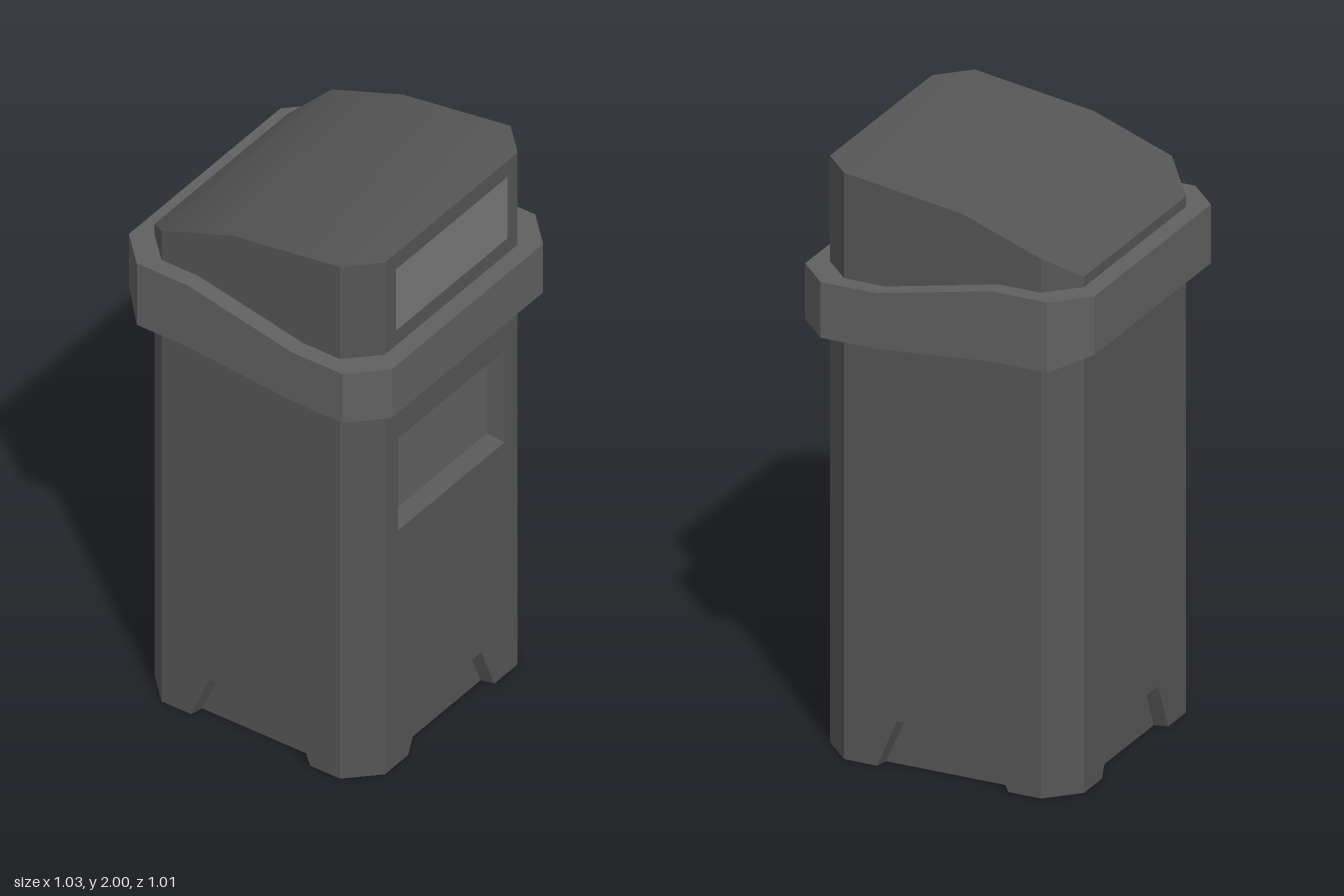
import * as THREE from 'three';
import { mergeGeometries, toCreasedNormals } from 'three/addons/utils/BufferGeometryUtils.js';

const W = 0.355, D = 0.345;          // half widths of the flat faces
const X = 0.455, Z = 0.445;          // half extents of the body
const DEPTH = 0.045;                 // depth of all recesses
const ROOF = [[Z, 2], [D, 2], [-0.07, 1.94], [-D, 1.84], [-Z, 1.76]];

// Height at z along a profile ordered from front to back
function heightAt(profile, z) {
  for (let i = 1; i < profile.length; i++) {
    const [z0, y0] = profile[i - 1], [z1, y1] = profile[i];
    if (z >= z1) return y0 + (y1 - y0) * Math.max(0, (z0 - z) / (z0 - z1));
  }
  return profile[profile.length - 1][1];
}

// Quads between two rows of points
function strip(a, b, closed = false) {
  const pos = [];
  for (let i = 0; i < a.length - (closed ? 0 : 1); i++) {
    const j = (i + 1) % a.length;
    pos.push(...a[i], ...a[j], ...b[j], ...a[i], ...b[j], ...b[i]);
  }
  const g = new THREE.BufferGeometry();
  g.setAttribute('position', new THREE.Float32BufferAttribute(pos, 3));
  return g;
}

// Flat polygon facing +z, with optional holes
function flat(points, z = 0, holes = []) {
  const vec = (list) => list.map(([x, y]) => new THREE.Vector2(x, y));
  const shape = new THREE.Shape(vec(points));
  shape.holes = holes.map((h) => new THREE.Path(vec(h)));
  const g = new THREE.ShapeGeometry(shape).toNonIndexed();
  g.deleteAttribute('uv');
  g.deleteAttribute('normal');
  return g.translate(0, 0, z);
}

function addMesh(group, name, parts, color) {
  const geometry = toCreasedNormals(mergeGeometries(parts), 0.6);
  const mesh = new THREE.Mesh(geometry, new THREE.MeshStandardMaterial({ color }));
  mesh.name = name;
  group.add(mesh);
}

const rect = (w, y0, y1) => [[-w, y0], [w, y0], [w, y1], [-w, y1]];
const at = (list, z) => list.map(([x, y]) => [x, y, z]);

// Chamfered rectangle from front left, with extra points where the sides bend
function outline(x, z, w, d, bends = []) {
  const right = [d, ...bends, -d].map((v) => [x, v]);
  const left = right.map(([a, b]) => [-a, b]).reverse();
  return [[-w, z], [w, z], ...right, [w, -z], [-w, -z], ...left];
}

export function createModel() {
  const group = new THREE.Group();
  const body = [], base = [];

  const notch = [[-0.23, 0], [0.23, 0], [0.16, 0.165], [-0.16, 0.165]];
  const notchIn = [[-0.22, 0], [0.22, 0], [0.152, 0.157], [-0.152, 0.157]];
  const hatch = rect(0.285, 0.91, 1.27);
  const hatchIn = rect(0.253, 0.945, 1.24);

  // Four walls, each with a foot notch; the side walls follow the roof line
  for (let k = 0; k < 4; k++) {
    const side = k % 2 === 1;
    const w = side ? D : W, dist = side ? X : Z, angle = k * Math.PI / 2;
    const turn = k === 1 ? -1 : 1;
    let top = [[w, k === 0 ? 2 : 1.76], [-w, k === 0 ? 2 : 1.76]];
    if (side) top = ROOF.slice(1, 4).map(([z, y]) => [turn * z, y]).sort((p, q) => q[0] - p[0]);
    const wall = [[-w, 0], notch[0], notch[3], notch[2], notch[1], [w, 0], ...top];
    const order = [1, 2, 3, 0];
    const parts = [
      flat(wall, dist, k === 0 ? [hatch] : []),
      flat(notchIn, dist - DEPTH),
      strip(at(order.map((i) => notch[i]), dist), at(order.map((i) => notchIn[i]), dist - DEPTH)),
    ];
    if (k === 0) parts.push(strip(at(hatch, dist), at(hatchIn, dist - DEPTH), true));
    body.push(...parts.map((g) => g.rotateY(angle)));

    const c = Math.cos(angle), s = Math.sin(angle);
    const local = [[-w, dist], [-0.23, dist], [-0.22, dist - DEPTH],
      [0.22, dist - DEPTH], [0.23, dist], [w, dist]];
    base.push(...local.map(([u, v]) => [u * c + v * s, v * c - u * s]));
  }
  body.push(flat(base).rotateX(Math.PI / 2));

  // Chamfered corners
  const ring = outline(X, Z, W, D);
  for (let i = 1; i < 8; i += 2) {
    const pair = [ring[i], ring[(i + 1) % 8]];
    body.push(strip(pair.map(([x, z]) => [x, 0, z]),
      pair.map(([x, z]) => [x, heightAt(ROOF, z), z])));
  }

  // Sloping roof
  const rows = ROOF.map(([z, y], i) => {
    const w = i === 0 || i === 4 ? W : X;
    return [[-w, y, z], [w, y, z]];
  });
  for (let i = 0; i < 4; i++) body.push(strip(rows[i], rows[i + 1]));
  addMesh(group, 'body', body, 0x555555);

  // Collar that steps up towards the back
  const low = [[0.51, 1.45], [0.2, 1.45], [-0.2, 1.485], [-0.397, 1.485], [-0.507, 1.525]];
  const high = [[0.51, 1.64], [0.2, 1.64], [-0.2, 1.725], [-0.507, 1.725]];
  const outer = outline(0.515, 0.507, 0.405, 0.397, [0.2, -0.2]);
  const inner = outline(X, Z, W, D, [0.2, -0.2]);
  const lift = (pts, profile) => pts.map(([x, z]) => [x, heightAt(profile, z), z]);
  addMesh(group, 'collar', [
    strip(lift(outer, low), lift(outer, high), true),
    strip(lift(outer, high), lift(inner, high), true),
    strip(lift(inner, low), lift(outer, low), true),
  ], 0x606060);

  // Floor of the front recess and the pale panel above the collar
  addMesh(group, 'recessPlate', [flat(hatchIn, Z - DEPTH)], 0x606060);
  addMesh(group, 'frontPanel', [flat(rect(0.297, 1.7, 1.94), Z + 0.002)], 0x777777);
  return group;
}
